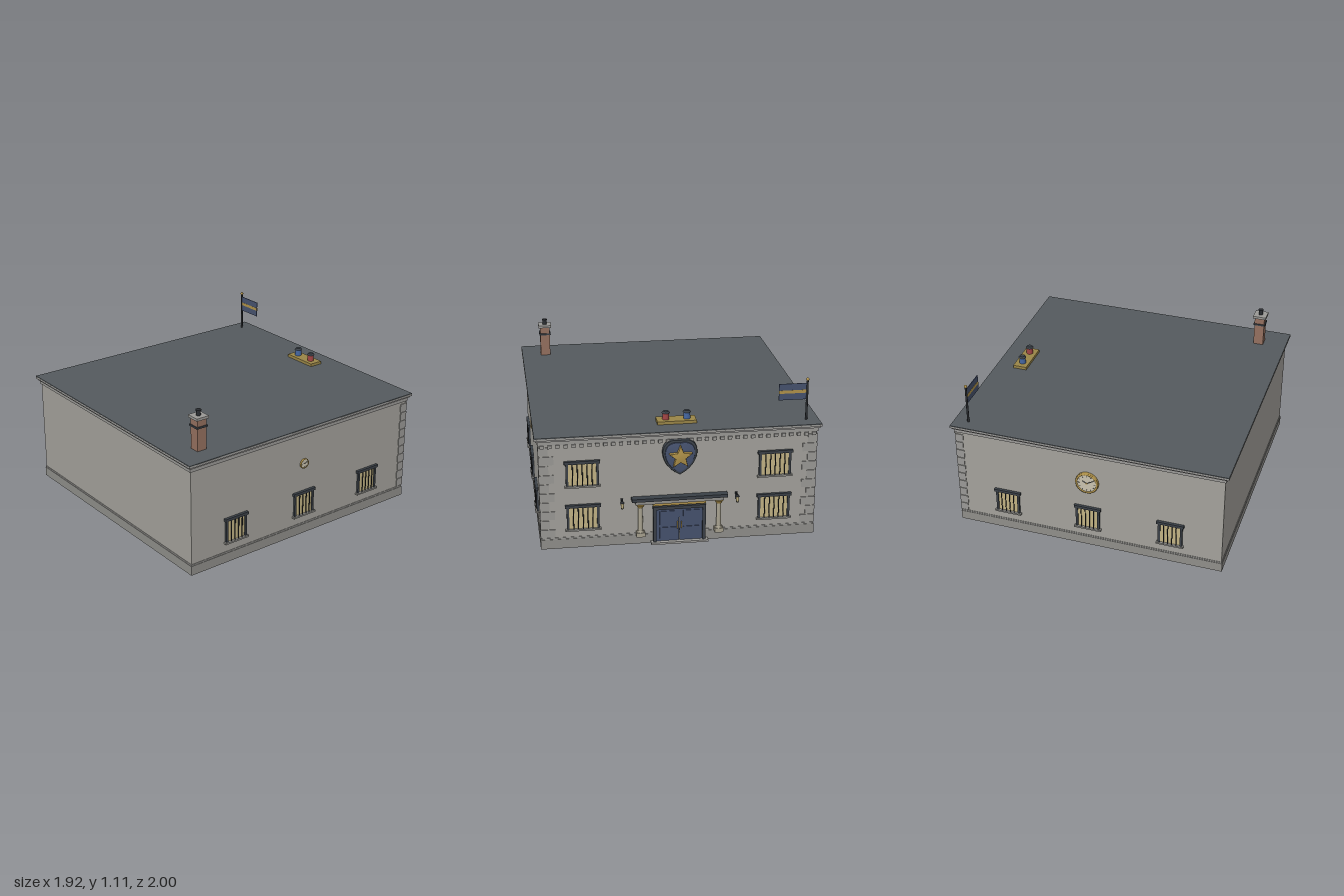
import * as THREE from 'three';
import { toCreasedNormals } from 'three/addons/utils/BufferGeometryUtils.js';

const mat = (color) => new THREE.MeshStandardMaterial({ color });
const M = {
  wall: mat(0xa3a19b), stone: mat(0x8f8e8a), trim: mat(0x9a9996), roof: mat(0x545a5e),
  dark: mat(0x3a4047), iron: mat(0x2a2d31), blue: mat(0x46526e), gold: mat(0xb0924a),
  plate: mat(0x9a8648), glass: mat(0xc2b384), cream: mat(0xc9c2ae), column: mat(0xa8a290),
  brick: mat(0x94705f), red: mat(0xa04444), lampBlue: mat(0x4466a0),
};
const HX = 0.932, HZ = 0.953, CZ = 0.0175; // wall half sizes and centre

function add(parent, name, geo, material, x = 0, y = 0, z = 0) {
  const m = new THREE.Mesh(geo, material);
  m.name = name;
  m.position.set(x, y, z);
  parent.add(m);
  return m;
}
const box = (p, name, material, w, h, d, x, y, z) =>
  add(p, name, new THREE.BoxGeometry(w, h, d), material, x, y, z);
const cyl = (p, name, material, rt, rb, h, x, y, z, n = 16) =>
  add(p, name, new THREE.CylinderGeometry(rt, rb, h, n), material, x, y, z);
function group(parent, name, x = 0, y = 0, z = 0, ry = 0) {
  const g = new THREE.Group();
  g.name = name;
  g.position.set(x, y, z);
  g.rotation.y = ry;
  parent.add(g);
  return g;
}
// horizontal slab between two heights, overhanging the walls by o
const slab = (p, name, material, o, y0, y1) =>
  box(p, name, material, 2 * (HX + o), y1 - y0, 2 * (HZ + o), 0, (y0 + y1) / 2, CZ);

// barred window standing out of a wall that faces local +z
function barredWindow(p, x, y, w, bars) {
  const g = group(p, 'barredWindow', x, y, 0), h = 0.16;
  box(g, 'windowPane', M.glass, w, h, 0.008, 0, 0, 0.002);
  for (const s of [-1, 1]) box(g, 'windowJamb', M.dark, 0.016, h, 0.016, s * (w / 2 + 0.004), 0, 0.006);
  box(g, 'windowLintel', M.dark, w + 0.044, 0.02, 0.022, 0, h / 2 + 0.006, 0.009);
  box(g, 'windowSill', M.stone, w + 0.044, 0.012, 0.026, 0, -h / 2 - 0.006, 0.011);
  for (let i = 1; i <= bars; i++)
    cyl(g, 'windowBar', M.iron, 0.0035, 0.0035, h, -w / 2 + (w * i) / (bars + 1), 0, 0.016, 8);
}

// round wall clock
function clock(p, y, r, depth) {
  const g = group(p, 'clock', 0, y, 0);
  cyl(g, 'clockCase', M.gold, r, r, depth * 0.7, 0, 0, depth * 0.35, 32).rotation.x = Math.PI / 2;
  cyl(g, 'clockFace', M.cream, r * 0.86, r * 0.86, depth * 0.1, 0, 0, depth * 0.74, 32).rotation.x = Math.PI / 2;
  add(g, 'clockRim', new THREE.TorusGeometry(r * 0.9, r * 0.09, 8, 32), M.gold, 0, 0, depth * 0.7);
  for (let i = 0; i < 12; i++) {
    const a = (i * Math.PI) / 6;
    box(g, 'hourMark', M.iron, r * 0.05, r * 0.14, 0.002, Math.sin(a) * r * 0.7, Math.cos(a) * r * 0.7, depth * 0.8).rotation.z = -a;
  }
  for (const [a, l] of [[-1.05, 0.42], [1.05, 0.6]])
    box(g, 'clockHand', M.iron, r * 0.07, r * l, 0.002, Math.sin(a) * r * l / 2, Math.cos(a) * r * l / 2, depth * 0.82).rotation.z = -a;
  cyl(g, 'clockHub', M.gold, r * 0.08, r * 0.08, 0.004, 0, 0, depth * 0.84, 12).rotation.x = Math.PI / 2;
}

// shield outline, scaled about its centre
function shieldShape(k) {
  const s = new THREE.Shape();
  s.moveTo(0, 0.118 * k);
  for (const m of [1]) {
    s.quadraticCurveTo(0.05 * k, 0.13 * k, 0.085 * k, 0.105 * k);
    s.quadraticCurveTo(0.12 * k, 0.08 * k, 0.116 * k, 0.02 * k);
    s.quadraticCurveTo(0.105 * k, -0.075 * k, 0, -0.13 * k);
    s.quadraticCurveTo(-0.105 * k, -0.075 * k, -0.116 * k, 0.02 * k);
    s.quadraticCurveTo(-0.12 * k, 0.08 * k, -0.085 * k, 0.105 * k);
    s.quadraticCurveTo(-0.05 * k, 0.13 * k, 0, 0.118 * k);
  }
  return s;
}
const extrude = (shape, depth, bevel) => toCreasedNormals(new THREE.ExtrudeGeometry(shape, {
  depth, curveSegments: 10, bevelEnabled: bevel > 0, bevelSize: bevel, bevelThickness: bevel, bevelOffset: -bevel, bevelSegments: 2,
}), 0.6);

function badge(p) {
  const g = group(p, 'badge', 0, 0.63, 0);
  add(g, 'badgeBorder', extrude(shieldShape(1), 0.022, 0.008), M.dark, 0, 0, 0);
  add(g, 'badgeField', extrude(shieldShape(0.86), 0.032, 0.006), M.blue, 0, 0, 0);
  const pts = [];
  for (let i = 0; i < 10; i++) {
    const a = (i * Math.PI) / 5, r = i % 2 ? 0.036 : 0.082;
    pts.push(new THREE.Vector2(Math.sin(a) * r, Math.cos(a) * r));
  }
  add(g, 'badgeStar', extrude(new THREE.Shape(pts), 0.023, 0.003), M.gold, 0, 0.008, 0.038);
}

function entrance(p) {
  const g = group(p, 'entrance');
  box(g, 'doorStep', M.trim, 0.39, 0.014, 0.045, 0, 0.007, 0.022);
  for (const s of [-1, 1]) {
    box(g, 'doorJamb', M.dark, 0.022, 0.25, 0.03, s * 0.168, 0.139, 0.012);
    box(g, 'doorLeaf', M.blue, 0.155, 0.235, 0.016, s * 0.079, 0.13, 0.008);
    for (const [y, h] of [[0.075, 0.08], [0.185, 0.1]])
      box(g, 'doorPanel', M.blue, 0.11, h, 0.006, s * 0.08, y, 0.018);
    cyl(g, 'doorHandle', M.gold, 0.004, 0.004, 0.05, s * 0.014, 0.13, 0.022, 8);
    // column on its pedestal
    const c = group(g, 'column', s * 0.267, 0, 0.026);
    box(c, 'columnPedestal', M.column, 0.058, 0.03, 0.05, 0, 0.082, 0);
    cyl(c, 'columnFoot', M.column, 0.02, 0.024, 0.014, 0, 0.104, 0);
    cyl(c, 'columnShaft', M.column, 0.015, 0.017, 0.18, 0, 0.195, 0);
    cyl(c, 'columnCapital', M.gold, 0.031, 0.018, 0.022, 0, 0.29, 0);
    // wall lantern
    const l = group(g, 'lantern', s * 0.39, 0, 0);
    box(l, 'lanternBackplate', M.iron, 0.016, 0.05, 0.008, 0, 0.315, 0.004);
    box(l, 'lanternArm', M.iron, 0.007, 0.007, 0.05, 0, 0.335, 0.025);
    cyl(l, 'lanternCap', M.iron, 0.005, 0.016, 0.014, 0, 0.334, 0.048, 12);
    cyl(l, 'lanternGlass', M.glass, 0.012, 0.009, 0.036, 0, 0.309, 0.048, 8);
    cyl(l, 'lanternBase', M.iron, 0.011, 0.007, 0.007, 0, 0.288, 0.048, 8);
  }
  box(g, 'doorHead', M.dark, 0.36, 0.022, 0.03, 0, 0.26, 0.012);
  box(g, 'canopyPanel', M.gold, 0.36, 0.026, 0.02, 0, 0.29, 0.01);
  box(g, 'canopyBeam', M.stone, 0.6, 0.024, 0.04, 0, 0.313, 0.02);
  box(g, 'canopyTop', M.dark, 0.65, 0.022, 0.052, 0, 0.336, 0.025);
}

function rooftop(root) {
  // chimney
  const c = group(root, 'chimney', 0.782, 0, 0.795);
  box(c, 'chimneyStack', M.brick, 0.072, 0.22, 0.072, 0, 0.92, 0);
  box(c, 'chimneyBand', M.dark, 0.086, 0.012, 0.086, 0, 0.977, 0);
  box(c, 'chimneyCap', M.trim, 0.096, 0.018, 0.096, 0, 1.039, 0);
  cyl(c, 'chimneyPot', M.iron, 0.014, 0.016, 0.04, 0, 1.066, 0);
  cyl(c, 'chimneyPotLip', M.iron, 0.019, 0.019, 0.008, 0, 1.084, 0);
  // signal lamps
  const b = group(root, 'signalLamps', 0, 0, -0.78);
  box(b, 'lampPlate', M.plate, 0.265, 0.024, 0.1, 0, 0.82, 0);
  for (const [x, m] of [[-0.073, M.lampBlue], [0.07, M.red]]) {
    cyl(b, 'lamp', m, 0.022, 0.024, 0.05, x, 0.855, 0, 20);
    cyl(b, 'lampCap', M.dark, 0.018, 0.028, 0.012, x, 0.884, 0, 20);
  }
  // flag
  const f = group(root, 'flag', -0.873, 0, -0.862);
  cyl(f, 'flagPole', M.iron, 0.007, 0.008, 0.285, 0, 0.95, 0, 12);
  add(f, 'flagPoleBall', new THREE.SphereGeometry(0.011, 16, 10), M.gold, 0, 1.096, 0);
  box(f, 'flagCloth', M.blue, 0.187, 0.114, 0.005, 0.1, 1.013, 0);
  box(f, 'flagStripe', M.gold, 0.187, 0.022, 0.007, 0.1, 1.013, 0);
}

export function createModel() {
  const root = new THREE.Group();
  root.name = 'stationBuilding';

  // walls, plinth, cornice and roof
  slab(root, 'walls', M.wall, 0, 0.06, 0.77);
  slab(root, 'plinth', M.stone, 0.006, 0, 0.068);
  slab(root, 'plinthMoulding', M.trim, 0.003, 0.068, 0.079);
  slab(root, 'corniceLower', M.trim, 0.008, 0.752, 0.779);
  slab(root, 'corniceMiddle', M.trim, 0.018, 0.779, 0.792);
  slab(root, 'corniceTop', M.trim, 0.029, 0.792, 0.806);
  slab(root, 'roof', M.roof, 0.028, 0.806, 0.811);

  // decorated face, turned towards -z
  const face = group(root, 'entranceFace', 0, 0, CZ - HZ, Math.PI);
  for (const x of [-0.65, 0.65])
    for (const y of [0.22, 0.535]) barredWindow(face, x, y, 0.195, 5);
  for (let i = 0; i < 36; i++)
    box(face, 'dentil', M.trim, 0.026, 0.022, 0.018, -0.91 + i * 0.052, 0.741, 0.008);
  for (const s of [-1, 1])
    for (let i = 0; i < 10; i++) {
      const w = i % 2 ? 0.065 : 0.1, d = i % 2 ? 0.06 : 0.055;
      box(face, 'quoin', M.trim, w, 0.058, d, s * (HX + 0.005 - w / 2), 0.112 + i * 0.066, 0.006 - d / 2);
    }
  badge(face);
  entrance(face);

  // side faces
  for (const s of [-1, 1]) {
    const side = group(root, 'sideFace', s * HX, 0, CZ, (s * Math.PI) / 2);
    for (const x of [-0.59, 0, 0.59]) barredWindow(side, x, 0.235, 0.148, 4);
    if (s > 0) clock(side, 0.535, 0.036, 0.012);
    else clock(side, 0.537, 0.082, 0.024);
  }

  rooftop(root);
  return root;
}
